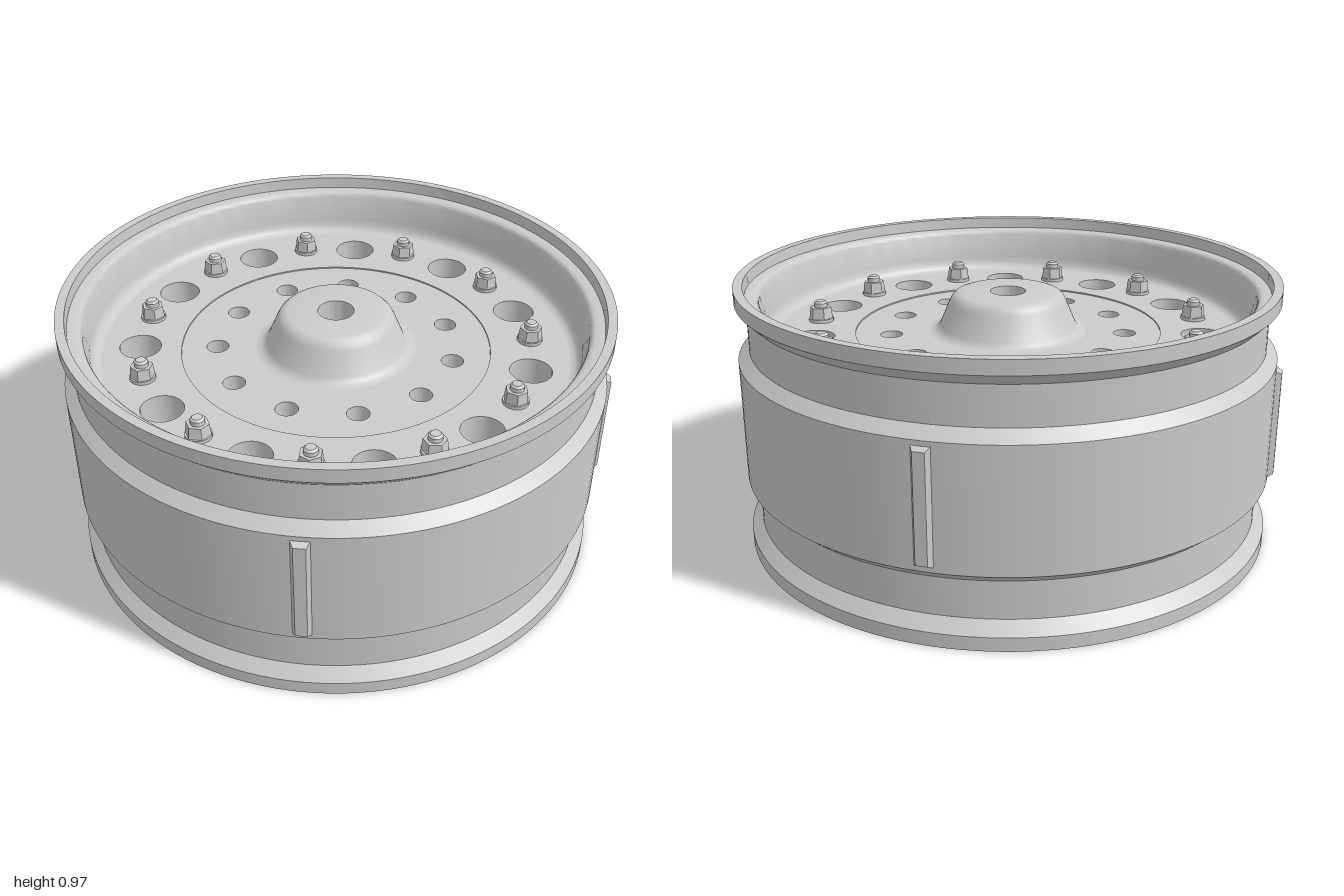
import * as THREE from 'three';
import { toCreasedNormals } from 'three/addons/utils/BufferGeometryUtils.js';

const mat = new THREE.MeshStandardMaterial({ color: 0xcccccc });
const COUNT = 11;
const STEP = (Math.PI * 2) / COUNT;

function add(parent, name, geometry) {
  const mesh = new THREE.Mesh(geometry, mat);
  mesh.name = name;
  parent.add(mesh);
  return mesh;
}

// Closed [radius, height] profile spun about the vertical axis
function spin(points, segments = 128) {
  const pts = [...points, points[0]].map(([r, y]) => new THREE.Vector2(r, y));
  return toCreasedNormals(new THREE.LatheGeometry(pts, segments), 0.55);
}

function circle(r, x = 0, y = 0) {
  return new THREE.Path().absarc(x, y, r, 0, Math.PI * 2, true);
}

// Evenly spaced holes, the first one pointing to the back
function holeRing(radius, r) {
  return Array.from({ length: COUNT }, (_, i) =>
    circle(r, Math.sin(i * STEP) * radius, Math.cos(i * STEP) * radius));
}

// Horizontal round plate with holes, between two heights
function plate(radius, holes, y0, y1) {
  const shape = new THREE.Shape().absarc(0, 0, radius, 0, Math.PI * 2, false);
  shape.holes.push(...holes);
  const geo = new THREE.ExtrudeGeometry(shape, { depth: y1 - y0, bevelEnabled: false, curveSegments: 72 });
  geo.rotateX(-Math.PI / 2).translate(0, y0, 0);
  return toCreasedNormals(geo, 0.5);
}

export function createModel() {
  const wheel = new THREE.Group();
  wheel.name = 'wheelRim';

  // Barrel: outside from bottom to top, then back down the inside
  add(wheel, 'barrel', spin([
    [0.91, 0], [0.98, 0], [0.98, 0.05], [0.94, 0.093], [0.94, 0.23],
    [0.98, 0.265], [0.98, 0.705], [0.94, 0.743], [0.94, 0.88], [0.98, 0.92],
    [0.98, 0.97], [0.947, 0.97], [0.944, 0.928], [0.912, 0.928], [0.903, 0.925],
    [0.897, 0.919], [0.893, 0.91], [0.883, 0.81], [0.879, 0.788], [0.871, 0.772],
    [0.86, 0.763], [0.845, 0.76], [0.84, 0.75], [0.84, 0.635], [0.91, 0.552],
  ]));

  // Outer web with the large openings
  add(wheel, 'outerWeb', plate(0.85, [circle(0.56), ...holeRing(0.71, 0.075)], 0.635, 0.76));

  // Centre plate, with a hexagonal pocket in its underside
  const hex = new THREE.Path();
  for (let i = 0; i < 6; i++) {
    const a = (-i * Math.PI) / 3;
    hex[i ? 'lineTo' : 'moveTo'](Math.sin(a) * 0.267, Math.cos(a) * 0.267);
  }
  hex.closePath();
  const smallHoles = () => holeRing(0.43, 0.04);
  add(wheel, 'centrePlateLower', plate(0.56, [hex, ...smallHoles()], 0.6, 0.7));
  add(wheel, 'centrePlateUpper', plate(0.56, [circle(0.065), ...smallHoles()], 0.7, 0.755));

  // Hub with a through bore
  add(wheel, 'hub', spin([
    [0.065, 0.72], [0.29, 0.72], [0.29, 0.755], [0.273, 0.758], [0.26, 0.766], [0.25, 0.78],
    [0.215, 0.863], [0.206, 0.881], [0.193, 0.894], [0.175, 0.9], [0.065, 0.9],
  ], 96));

  // Nuts with studs, set between the large openings
  const nutGeo = new THREE.CylinderGeometry(0.04, 0.045, 0.045, 6).toNonIndexed();
  nutGeo.computeVertexNormals();
  const washerGeo = new THREE.CylinderGeometry(0.046, 0.046, 0.012, 24);
  const studGeo = spin([[0, 0.04], [0.025, 0.04], [0.025, 0.07], [0.018, 0.077], [0, 0.077]], 16);
  for (let i = 0; i < COUNT; i++) {
    const a = i * STEP;
    const nut = new THREE.Group();
    nut.name = 'wheelNut';
    add(nut, 'washer', washerGeo).position.y = 0.006;
    add(nut, 'hexNut', nutGeo).position.y = 0.0315;
    add(nut, 'stud', studGeo);
    nut.position.set(Math.sin(a) * 0.71, 0.76, Math.cos(a) * 0.71);
    nut.rotation.y = a;
    wheel.add(nut);
  }

  // Four bevelled bars around the barrel
  const barGeo = new THREE.BoxGeometry(0.074, 0.415, 0.03).toNonIndexed();
  const p = barGeo.attributes.position;
  for (let i = 0; i < p.count; i++) {
    if (p.getZ(i) > 0) p.setXY(i, p.getX(i) * 0.55, p.getY(i) * 0.92);
  }
  barGeo.computeVertexNormals();
  barGeo.translate(0, 0.485, 0.985);
  for (let i = 0; i < 4; i++) add(wheel, 'sideBar', barGeo).rotation.y = (i * Math.PI) / 2;

  return wheel;
}
